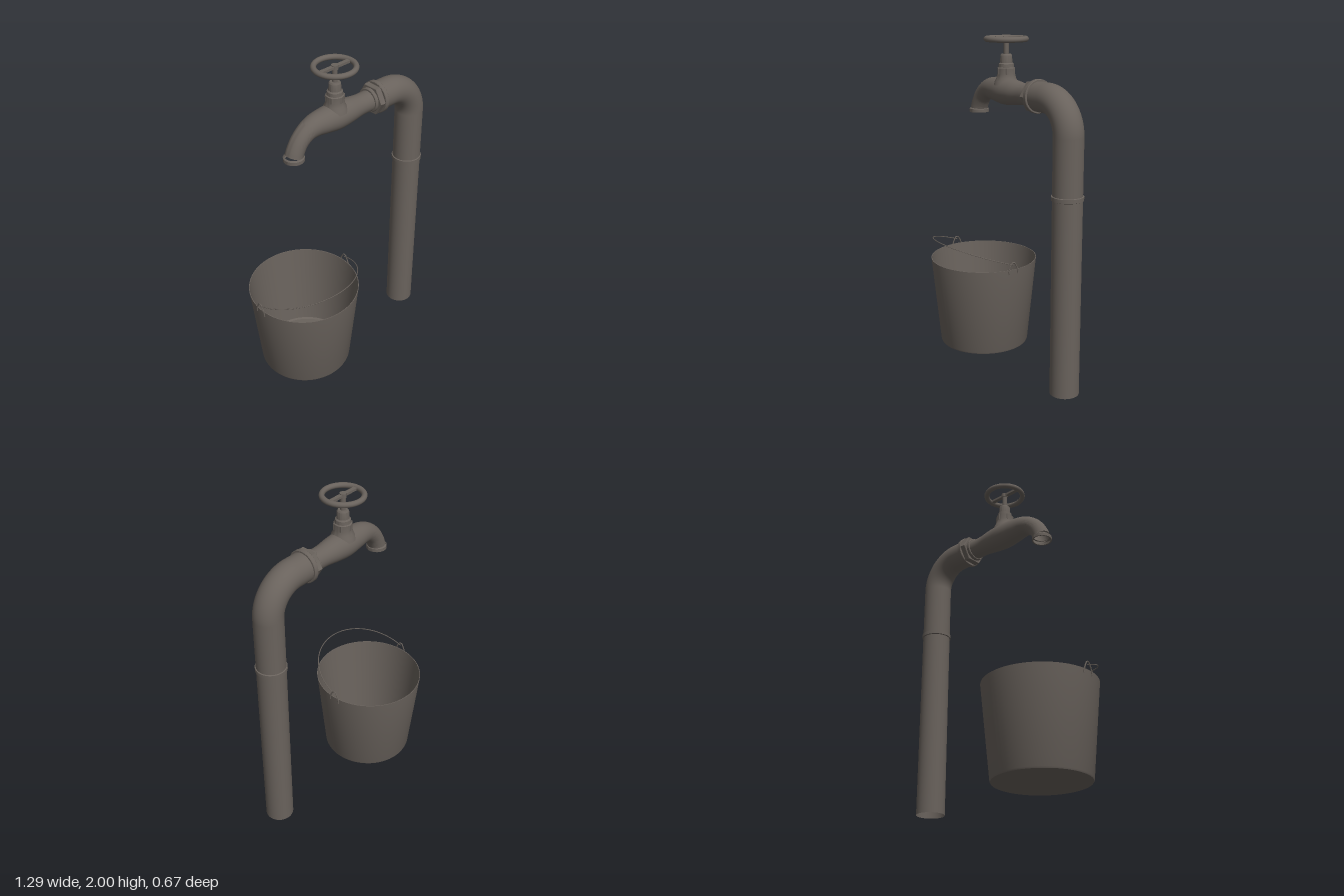
import * as THREE from 'three';
import { toCreasedNormals } from 'three/addons/utils/BufferGeometryUtils.js';

const agedIron = new THREE.MeshStandardMaterial({ color: 0x69625c, side: THREE.DoubleSide });
agedIron.name = 'agedIron';

function add(parent, name, geometry, x = 0, y = 0, z = 0) {
  const mesh = new THREE.Mesh(geometry, agedIron);
  mesh.name = name;
  mesh.position.set(x, y, z);
  parent.add(mesh);
  return mesh;
}

// Turned part from [radius, height] pairs, with sharp edges kept
function turned(profile, sides = 40) {
  const points = profile.map(([r, y]) => new THREE.Vector2(r, y));
  return toCreasedNormals(new THREE.LatheGeometry(points, sides), 0.6);
}

// Round tube in the XY plane through [x, y, radius] stations
function taperedTube(stations, steps = 64, sides = 36) {
  const curve = new THREE.CatmullRomCurve3(stations.map((s) => new THREE.Vector3(...s)));
  const positions = [], indices = [];
  for (let i = 0; i <= steps; i++) {
    const p = curve.getPoint(i / steps);
    const t = curve.getTangent(i / steps).setZ(0).normalize();
    for (let j = 0; j <= sides; j++) {
      const a = (j / sides) * Math.PI * 2;
      const c = Math.cos(a) * p.z;
      positions.push(p.x - t.y * c, p.y + t.x * c, Math.sin(a) * p.z);
      if (i < steps && j < sides) {
        const k = i * (sides + 1) + j, n = k + sides + 1;
        indices.push(k, n, k + 1, k + 1, n, n + 1);
      }
    }
  }
  const geometry = new THREE.BufferGeometry();
  geometry.setAttribute('position', new THREE.Float32BufferAttribute(positions, 3));
  geometry.setIndex(indices);
  return toCreasedNormals(geometry, 0.7);
}

function wire(points, radius, closed = false, tension = 0.5) {
  const curve = new THREE.CatmullRomCurve3(points, closed, 'catmullrom', tension);
  return new THREE.TubeGeometry(curve, 64, radius, 6, closed);
}

function createPipe() {
  const pipe = new THREE.Group();
  pipe.name = 'standpipe';
  const r = 0.085, bend = 0.19, x = 0.55, y = 1.685;

  // Open upright, quarter elbow and short horizontal run in one sweep
  const path = new THREE.CurvePath();
  const upright = new THREE.Vector3(x, y - bend, 0);
  const elbowEnd = new THREE.Vector3(x - bend, y, 0);
  add(pipe, 'upright', new THREE.CylinderGeometry(r, r, y - bend, 40, 1, true), x, (y - bend) / 2);
  path.add(new THREE.QuadraticBezierCurve3(upright, new THREE.Vector3(x, y, 0), elbowEnd));
  const elbow = new THREE.TorusGeometry(bend, r, 40, 28, Math.PI / 2);
  add(pipe, 'elbow', elbow, x - bend, y - bend);
  const run = new THREE.CylinderGeometry(r, r, x - bend - 0.27, 40, 1, true);
  add(pipe, 'horizontalRun', run, (x - bend + 0.27) / 2, y).rotation.z = Math.PI / 2;

  // Joint collar
  add(pipe, 'jointCollar', turned([[0.084, 1.147], [0.091, 1.15], [0.091, 1.172], [0.084, 1.175]]), x);
  return pipe;
}

function createFaucet() {
  const faucet = new THREE.Group();
  faucet.name = 'faucet';
  const y = 1.685, stemX = -0.047;

  // Coupling: flange, hexagonal nut and ring
  [['flange', 0.2, 0.222, 0.072, 40], ['hexNut', 0.22, 0.257, 0.093, 6], ['ring', 0.255, 0.282, 0.096, 40]]
    .forEach(([name, x0, x1, radius, sides]) => {
      const w = x1 - x0;
      const b = 0.003;
      const profile = [[0, 0], [radius - b, 0], [radius, b], [radius, w - b], [radius - b, w], [0, w]];
      add(faucet, name, turned(profile, sides), x1, y).rotation.z = Math.PI / 2;
    });

  // Swelling body that narrows and turns down to the spout
  add(faucet, 'bodyAndSpout', taperedTube([
    [0.21, 1.683, 0.062], [0.13, 1.683, 0.062], [0.04, 1.683, 0.073], [-0.047, 1.683, 0.079],
    [-0.13, 1.686, 0.073], [-0.2, 1.685, 0.064], [-0.255, 1.668, 0.056], [-0.305, 1.628, 0.052],
    [-0.335, 1.58, 0.052], [-0.346, 1.55, 0.053],
  ]));
  add(faucet, 'spoutLip', turned([[0.053, 0], [0.06, 0], [0.06, 0.02], [0.052, 0.027]]), -0.348, 1.527);

  // Bonnet stack and stem
  add(faucet, 'bonnet', turned([
    [0.074, 1.72], [0.066, 1.745], [0.057, 1.762], [0.052, 1.785], [0.052, 1.818], [0.046, 1.822],
    [0.044, 1.842], [0.036, 1.848], [0.034, 1.89], [0.028, 1.898], [0, 1.898],
  ]), stemX);
  add(faucet, 'bonnetNut', turned([[0.04, 0], [0.056, 0], [0.056, 0.035], [0.04, 0.035]], 6), stemX, 1.783);
  add(faucet, 'stem', new THREE.CylinderGeometry(0.015, 0.015, 0.1, 20), stemX, 1.935);

  // Handwheel with one crossbar
  const wheel = new THREE.Group();
  wheel.name = 'handwheel';
  wheel.position.set(stemX, 1.984, 0);
  add(wheel, 'wheelRim', new THREE.TorusGeometry(0.115, 0.016, 16, 56)).rotation.x = Math.PI / 2;
  add(wheel, 'crossbar', new THREE.BoxGeometry(0.22, 0.014, 0.024));
  add(wheel, 'hub', new THREE.CylinderGeometry(0.02, 0.02, 0.024, 24));
  faucet.add(wheel);
  return faucet;
}

function createBucket() {
  const bucket = new THREE.Group();
  bucket.name = 'bucket';
  bucket.position.x = -0.308;

  // Thin flared shell with a flat floor
  add(bucket, 'shell', turned([
    [0, 0.04], [0.267, 0.04], [0.277, 0.043], [0.281, 0.052], [0.335, 0.6],
    [0.331, 0.6], [0.277, 0.052], [0.267, 0.045], [0, 0.045],
  ], 64));

  // Wire ears on both sides of the rim
  for (const side of [-1, 1]) {
    const ear = [[0.335, 0.57, -0.035], [0.336, 0.605, -0.03], [0.336, 0.643, -0.01],
      [0.336, 0.643, 0.01], [0.336, 0.605, 0.03], [0.335, 0.57, 0.035]]
      .map(([x, y, z]) => new THREE.Vector3(side * x, y, z));
    add(bucket, 'handleEar', wire(ear, 0.004, false, 0.3));
  }

  // Bail handle leaning forward
  const bail = [];
  for (let i = 0; i <= 24; i++) {
    const a = (i / 24) * Math.PI;
    bail.push(new THREE.Vector3(0.334 * Math.cos(a), 0.63 + 0.11 * Math.sin(a), 0.318 * Math.sin(a)));
  }
  add(bucket, 'bailHandle', wire(bail, 0.003));
  return bucket;
}

export function createModel() {
  const model = new THREE.Group();
  model.name = 'standpipeWithBucket';
  model.add(createPipe(), createFaucet(), createBucket());
  return model;
}
